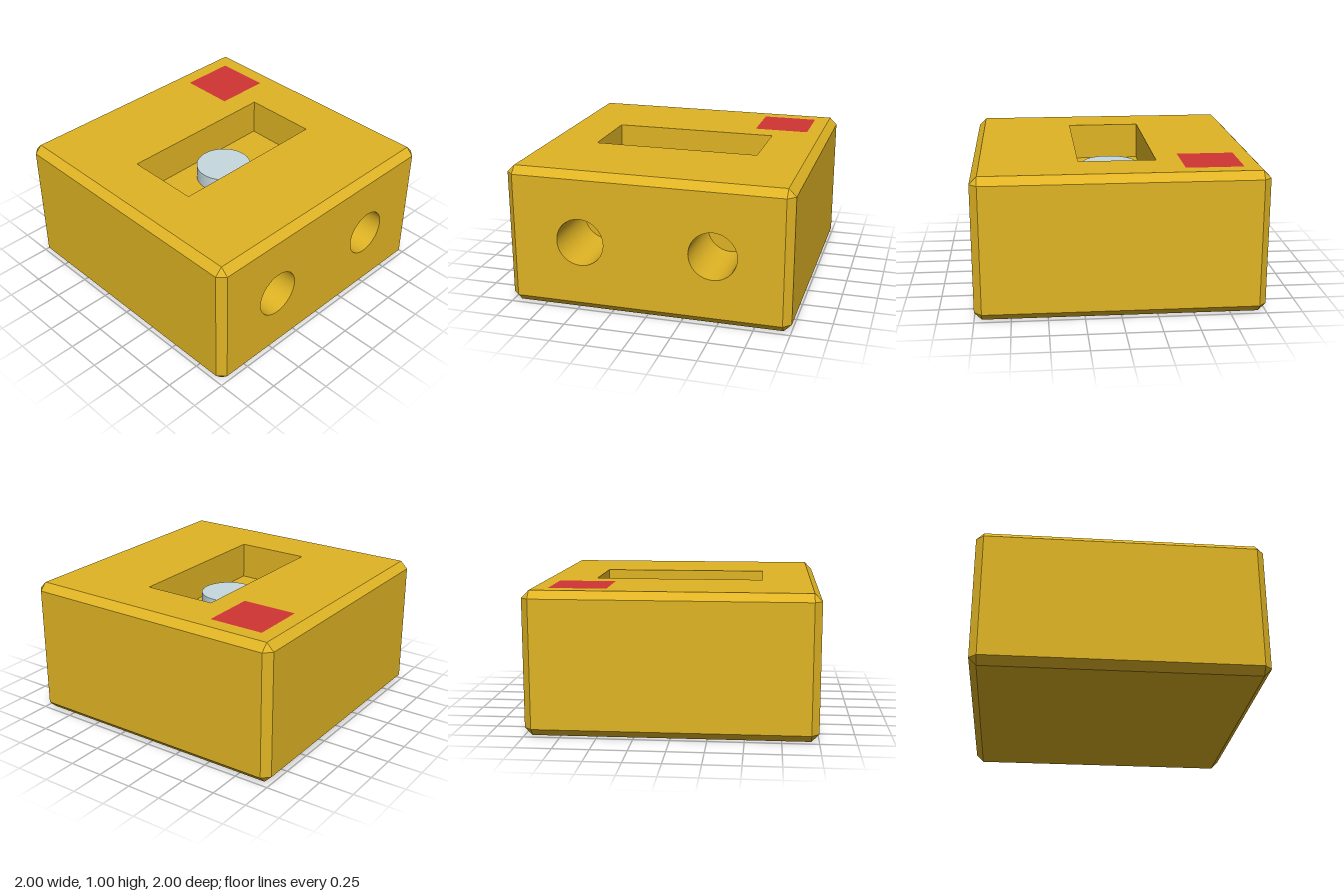
import * as THREE from 'three';

const C = 0.053; // chamfer width
const HALF = [1, 0.5, 1];
const Q = Math.PI / 2;

export function createModel() {
  const model = new THREE.Group();
  const yellow = new THREE.MeshStandardMaterial({ color: 0xe0b424 });
  const red = new THREE.MeshStandardMaterial({ color: 0xd03433 });
  const steel = new THREE.MeshStandardMaterial({ color: 0xc6d8e0 });

  function add(parent, name, geometry, material, pos = [0, 0, 0], rot = [0, 0, 0]) {
    const mesh = new THREE.Mesh(geometry, material);
    mesh.name = name;
    mesh.position.set(...pos);
    mesh.rotation.set(...rot);
    parent.add(mesh);
    return mesh;
  }

  function rect(w, h, holes = []) {
    const s = new THREE.Shape();
    s.moveTo(-w / 2, -h / 2).lineTo(w / 2, -h / 2).lineTo(w / 2, h / 2).lineTo(-w / 2, h / 2).closePath();
    s.holes.push(...holes);
    return new THREE.ShapeGeometry(s, 32);
  }

  // Outer faces of the block, with openings in the front and top
  const body = new THREE.Group();
  body.name = 'body';
  model.add(body);
  const W = 2 - 2 * C, H = 1 - 2 * C;
  const holeX = 0.467, holeR = 0.168, holeDepth = 0.53;
  const bores = [-1, 1].map(s => new THREE.Path().absarc(s * holeX, 0, holeR, 0, Math.PI * 2, true));
  const px = 0.6, pz = 0.27, depth = 0.27;
  const opening = new THREE.Path();
  opening.moveTo(-px, -pz).lineTo(-px, pz).lineTo(px, pz).lineTo(px, -pz).closePath();
  add(body, 'frontFace', rect(W, H, bores), yellow, [0, 0.5, 1]);
  add(body, 'backFace', rect(W, H), yellow, [0, 0.5, -1], [0, Math.PI, 0]);
  add(body, 'leftFace', rect(W, H), yellow, [1, 0.5, 0], [0, Q, 0]);
  add(body, 'rightFace', rect(W, H), yellow, [-1, 0.5, 0], [0, -Q, 0]);
  add(body, 'topFace', rect(W, W, [opening]), yellow, [0, 1, 0], [-Q, 0, 0]);
  add(body, 'bottomFace', rect(W, W), yellow, [0, 0, 0], [Q, 0, 0]);

  // Chamfered edges and corners
  const verts = [];
  const point = (signs, axis) =>
    new THREE.Vector3(...HALF.map((h, i) => signs[i] * (i === axis ? h : h - C)));
  function triangle(a, b, c) {
    const n = b.clone().sub(a).cross(c.clone().sub(a));
    const outward = n.dot(a.clone().add(b).add(c)) > 0;
    for (const v of outward ? [a, b, c] : [a, c, b]) verts.push(v.x, v.y + 0.5, v.z);
  }
  for (const u of [-1, 1]) for (const v of [-1, 1]) {
    for (let i = 0; i < 3; i++) {
      const j = (i + 1) % 3, k = (i + 2) % 3;
      const lo = [], hi = [];
      lo[i] = -1; hi[i] = 1;
      lo[j] = hi[j] = u;
      lo[k] = hi[k] = v;
      triangle(point(lo, j), point(hi, j), point(hi, k));
      triangle(point(lo, j), point(hi, k), point(lo, k));
    }
    for (const w of [-1, 1]) triangle(...[0, 1, 2].map(axis => point([u, v, w], axis)));
  }
  const chamfer = new THREE.BufferGeometry();
  chamfer.setAttribute('position', new THREE.Float32BufferAttribute(verts, 3));
  chamfer.computeVertexNormals();
  add(body, 'chamfers', chamfer, yellow);

  // Blind round holes in the front
  for (const s of [-1, 1]) {
    const hole = new THREE.Group();
    hole.name = s > 0 ? 'leftHole' : 'rightHole';
    hole.position.set(s * holeX, 0.5, 1);
    model.add(hole);
    const profile = [new THREE.Vector2(holeR, 0), new THREE.Vector2(holeR, -holeDepth)];
    add(hole, 'holeWall', new THREE.LatheGeometry(profile, 64), yellow, [0, 0, 0], [Q, 0, 0]);
    add(hole, 'holeFloor', new THREE.CircleGeometry(holeR, 64), yellow, [0, 0, -holeDepth]);
  }

  // Rectangular pocket in the top
  const pocket = new THREE.Group();
  pocket.name = 'pocket';
  model.add(pocket);
  const midY = 1 - depth / 2;
  add(pocket, 'pocketFloor', rect(2 * px, 2 * pz), yellow, [0, 1 - depth, 0], [-Q, 0, 0]);
  for (const s of [-1, 1]) {
    add(pocket, 'pocketLongWall', rect(2 * px, depth), yellow, [0, midY, s * pz], [0, s > 0 ? Math.PI : 0, 0]);
    add(pocket, 'pocketEndWall', rect(2 * pz, depth), yellow, [s * px, midY, 0], [0, -s * Q, 0]);
  }

  // Round button standing on the pocket floor
  add(model, 'button', new THREE.CylinderGeometry(0.2, 0.2, 0.11, 64), steel, [0, 1 - depth + 0.055, 0]);

  // Flush square marker on the top
  add(model, 'marker', rect(0.4, 0.4), red, [0.64, 1.001, -0.64], [-Q, 0, 0]);

  return model;
}
